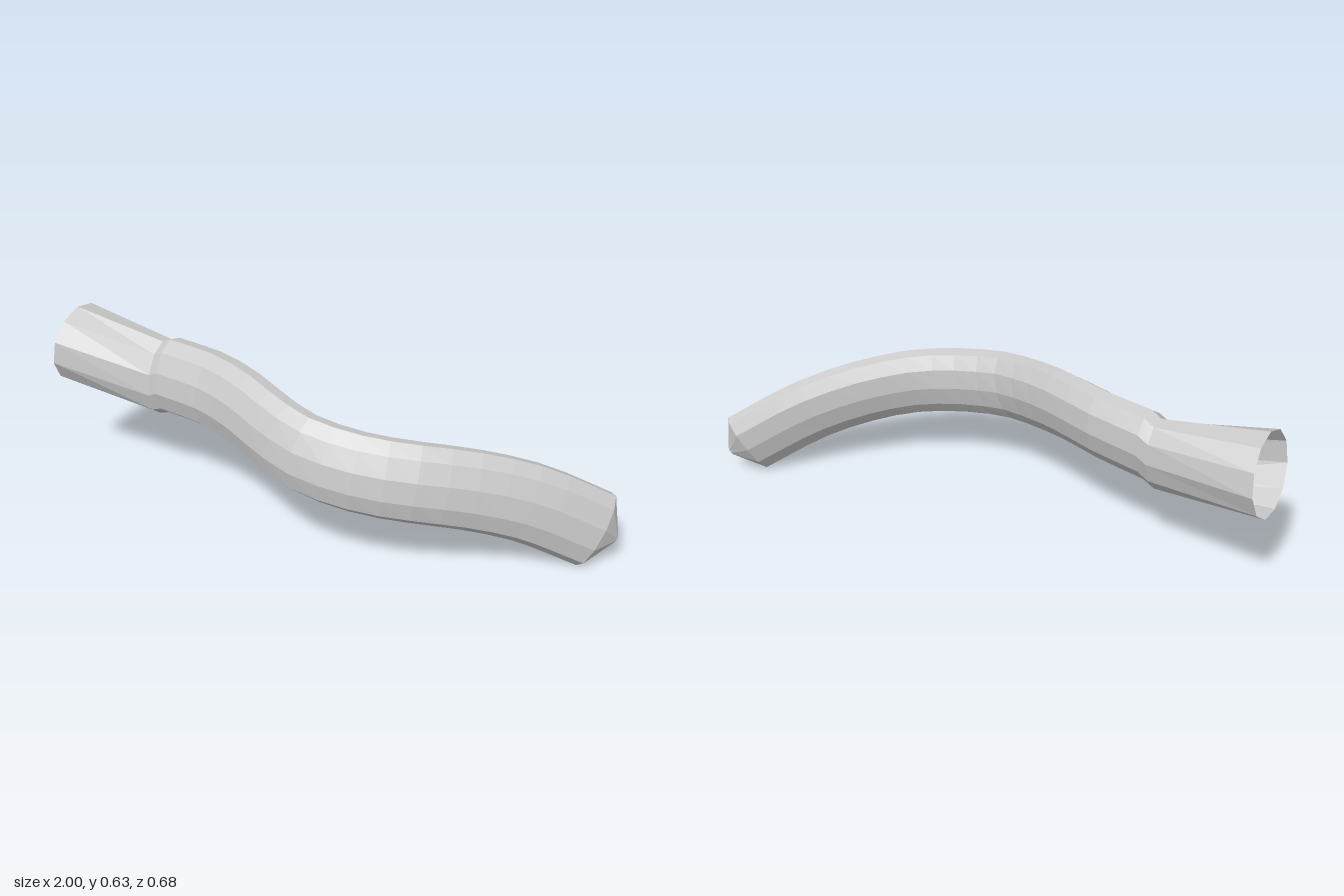
import * as THREE from 'three';

const SIDES = 11;
const ROLL = THREE.MathUtils.degToRad(12);

// One oval cross-section, square to the tangent, leaning back by ROLL
function ring(center, tangent, halfWidth, halfHeight) {
  const t = tangent.clone().normalize();
  const side = new THREE.Vector3().crossVectors(t, new THREE.Vector3(0, 1, 0)).normalize();
  const up = new THREE.Vector3().crossVectors(side, t);
  const points = [];
  for (let j = 0; j < SIDES; j++) {
    const angle = Math.PI / 2 + ((j + 0.5) / SIDES) * Math.PI * 2;
    const w = Math.cos(angle) * halfWidth;
    const h = Math.sin(angle) * halfHeight;
    points.push(center.clone()
      .addScaledVector(side, w * Math.cos(ROLL) - h * Math.sin(ROLL))
      .addScaledVector(up, w * Math.sin(ROLL) + h * Math.cos(ROLL)));
  }
  return points;
}

// Skin a list of rings with quads
function loft(name, rings, material) {
  const positions = rings.flat().flatMap((p) => p.toArray());
  const index = [];
  for (let i = 0; i < rings.length - 1; i++) {
    for (let j = 0; j < SIDES; j++) {
      const k = (j + 1) % SIDES;
      const a = i * SIDES + j, b = i * SIDES + k;
      const c = a + SIDES, d = b + SIDES;
      index.push(a, c, b, b, c, d);
    }
  }
  const geometry = new THREE.BufferGeometry();
  geometry.setAttribute('position', new THREE.Float32BufferAttribute(positions, 3));
  geometry.setIndex(index);
  geometry.computeVertexNormals();
  const mesh = new THREE.Mesh(geometry, material);
  mesh.name = name;
  return mesh;
}

export function createModel() {
  const group = new THREE.Group();
  group.name = 'curvedTube';
  const material = new THREE.MeshStandardMaterial({
    color: 0xcccccc, flatShading: true, side: THREE.DoubleSide,
  });

  // Open round mouth narrowing to an oval neck
  const mouth = new THREE.Vector3(-0.98, 0.488, 0.157);
  const neck = new THREE.Vector3(-0.6, 0.437, 0.13);
  const neckRing = ring(neck, new THREE.Vector3(1, 0, 0.03), 0.086, 0.14);
  const mouthRing = ring(mouth, neck.clone().sub(mouth), 0.147, 0.147);
  group.add(loft('flaredMouth', [mouthRing, neckRing], material));

  // Oval body following a double bend
  const path = new THREE.CatmullRomCurve3([
    [-0.56, 0.455, 0.134], [-0.36, 0.46, 0.15], [-0.2, 0.455, 0.19],
    [0, 0.422, 0.247], [0.12, 0.403, 0.262], [0.3, 0.378, 0.225],
    [0.45, 0.357, 0.15], [0.6, 0.318, 0.03], [0.75, 0.25, -0.105],
    [0.925, 0.125, -0.262],
  ].map((p) => new THREE.Vector3(...p)));
  const rings = [neckRing];
  const steps = 18;
  for (let i = 0; i <= steps; i++) {
    const u = i / steps;
    const halfWidth = THREE.MathUtils.lerp(0.085, 0.064, u);
    rings.push(ring(path.getPointAt(u), path.getTangentAt(u), halfWidth, 0.14));
  }
  group.add(loft('body', rings, material));

  // Shallow pointed cap closing the far end
  const end = rings[rings.length - 1];
  const tangent = path.getTangentAt(1);
  const tip = new THREE.Vector3(0.982, 0.09, -0.303);
  const tipRing = ring(tip, tangent, 0.016, 0.02);
  const center = Array.from({ length: SIDES }, () => tip.clone());
  group.add(loft('endCap', [end, tipRing], material));
  group.add(loft('capTip', [tipRing, center], material));

  return group;
}
